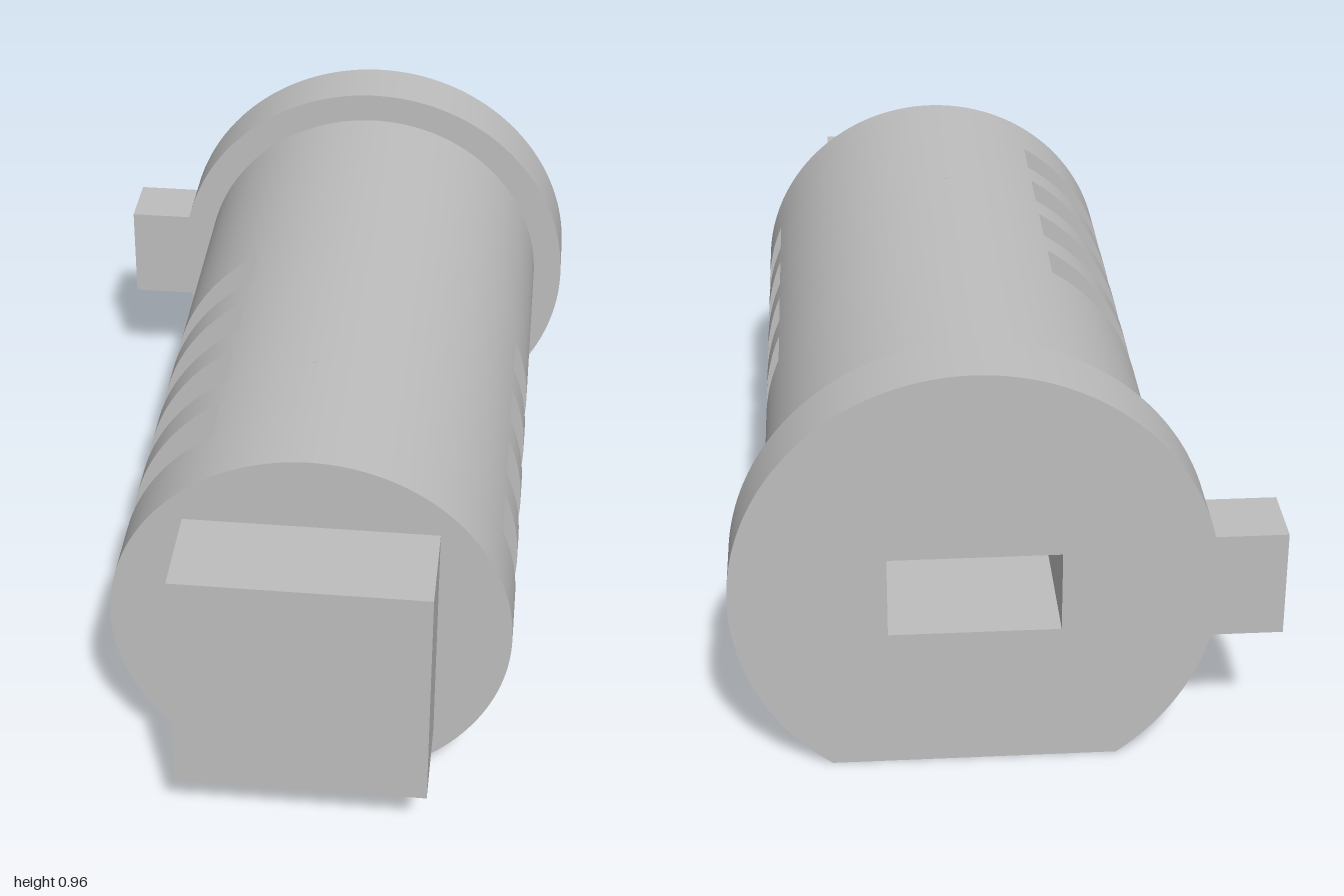
import * as THREE from 'three';
import { toCreasedNormals } from 'three/addons/utils/BufferGeometryUtils.js';

const CX = 0.07, CY = 0.43;            // barrel axis
const BODY_R = 0.46, FLANGE_R = 0.535;
const SLOT_LOW = 0.25, SLOT_HIGH = 0.61, SLOT_X = -0.17;

export function createModel() {
  const model = new THREE.Group();
  model.name = 'lockBarrel';
  const metal = new THREE.MeshStandardMaterial({ color: 0xbebebe });
  metal.name = 'grey metal';

  // Extrude a cross-section from z0 to z1
  const add = (name, shape, z0, z1) => {
    const geo = new THREE.ExtrudeGeometry(shape, { depth: z1 - z0, bevelEnabled: false, curveSegments: 64 });
    geo.translate(0, 0, z0);
    const mesh = new THREE.Mesh(toCreasedNormals(geo, 0.4), metal);
    mesh.name = name;
    model.add(mesh);
  };
  const arc = (shape, r, a0, a1) => shape.absarc(CX, CY, r, a0, a1, false);

  // Rectangular keyway opening
  const withKeyway = (shape) => {
    const hole = new THREE.Path();
    hole.moveTo(-0.12, 0.335);
    hole.lineTo(-0.12, 0.525);
    hole.lineTo(0.26, 0.525);
    hole.lineTo(0.26, 0.335);
    hole.closePath();
    shape.holes.push(hole);
    return shape;
  };

  // Round section with a flat underside
  const bodyShape = () => {
    const flat = Math.asin(CY / BODY_R), s = new THREE.Shape();
    arc(s, BODY_R, -flat, Math.PI + flat);
    s.closePath();
    return s;
  };

  // Flange section with the side tab
  const flangeShape = () => {
    const flat = Math.asin(CY / FLANGE_R), tab = Math.asin(0.125 / FLANGE_R);
    const s = new THREE.Shape();
    arc(s, FLANGE_R, -flat, Math.PI - tab);
    s.lineTo(-0.61, CY + 0.125);
    s.lineTo(-0.61, CY - 0.125);
    arc(s, FLANGE_R, Math.PI + tab, Math.PI + flat);
    s.closePath();
    return s;
  };

  // Material left above and below each cross slot
  const sideAngle = Math.acos((SLOT_X - CX) / BODY_R);
  const slotAngle = Math.asin((SLOT_HIGH - CY) / BODY_R);
  const upperShape = () => {
    const s = new THREE.Shape();
    arc(s, BODY_R, slotAngle, sideAngle);
    s.lineTo(SLOT_X, SLOT_HIGH);
    s.closePath();
    return s;
  };
  const lowerShape = () => {
    const flat = Math.asin(CY / BODY_R), s = new THREE.Shape();
    s.moveTo(SLOT_X, SLOT_LOW);
    arc(s, BODY_R, -sideAngle, -Math.PI + flat);
    arc(s, BODY_R, -flat, -slotAngle);
    s.closePath();
    return s;
  };

  add('rearFlange', withKeyway(flangeShape()), -1, -0.84);

  // Barrel: solid rear, four slots separated by ribs, solid front
  const slots = [[-0.2, -0.07], [0.02, 0.155], [0.24, 0.375], [0.465, 0.6]];
  let z = -0.84;
  slots.forEach(([z0, z1], i) => {
    add(i ? 'barrelRib' : 'barrelRear', withKeyway(bodyShape()), z, z0);
    add('slotTop', upperShape(), z0, z1);
    add('slotBottom', lowerShape(), z0, z1);
    z = z1;
  });
  add('barrelFront', bodyShape(), z, 0.77);

  // Square drive block on the front end
  const block = new THREE.Mesh(new THREE.BoxGeometry(0.575, 0.57, 0.23), metal);
  block.position.set(0.072, CY, 0.885);
  block.name = 'driveBlock';
  model.add(block);

  return model;
}
